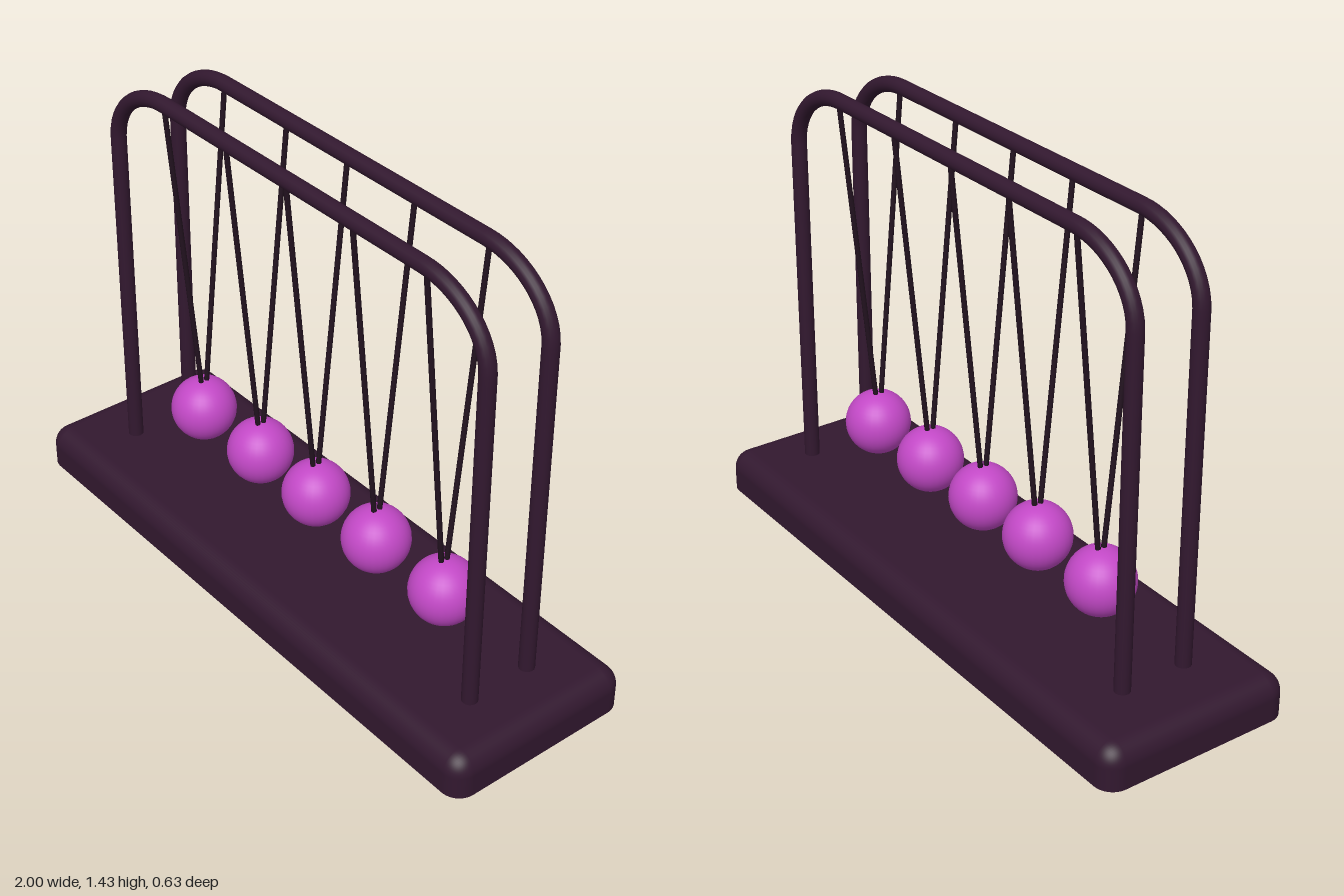
import * as THREE from 'three';
import { RoundedBoxGeometry } from 'three/addons/geometries/RoundedBoxGeometry.js';

const dark = new THREE.MeshStandardMaterial({ color: 0x32182f });
const stringMat = new THREE.MeshStandardMaterial({ color: 0x22121f });
const ballMat = new THREE.MeshStandardMaterial({ color: 0xc248c6 });

const CX = 0.014, CZ = 0.003;       // centre of the frame
const POST_X = 0.804, RAIL_Z = 0.107, RAIL_Y = 1.403, ROD_R = 0.024;
const BALL_Y = 0.315, BALL_R = 0.103;

function add(parent, name, geometry, material) {
  const mesh = new THREE.Mesh(geometry, material);
  mesh.name = name;
  parent.add(mesh);
  return mesh;
}

// Rounded slab whose lower half is flattened onto the ground
function baseGeometry() {
  const g = new RoundedBoxGeometry(2, 0.26, 0.63, 6, 0.06);
  const p = g.attributes.position, n = g.attributes.normal;
  for (let i = 0; i < p.count; i++) p.setY(i, Math.max(0, p.getY(i)));
  for (let i = 0; i < p.count; i += 3) {
    if (p.getY(i) + p.getY(i + 1) + p.getY(i + 2) < 1e-5) {
      for (let k = 0; k < 3; k++) n.setXYZ(i + k, 0, -1, 0);
    }
  }
  return g;
}

// Bent rod: two posts joined by a rail through soft corners
function frameGeometry() {
  const v = (x, y) => new THREE.Vector3(x, y, 0);
  const bendX = POST_X - 0.25, bendY = 1.2, k = 0.45;
  const corner = s => [
    v(s * POST_X, bendY), v(s * POST_X, bendY + (RAIL_Y - bendY) * (1 - k)),
    v(s * (bendX + 0.25 * (1 - k)), RAIL_Y), v(s * bendX, RAIL_Y)];
  const path = new THREE.CurvePath();
  path.add(new THREE.LineCurve3(v(-POST_X, 0.1), v(-POST_X, bendY)));
  path.add(new THREE.CubicBezierCurve3(...corner(-1)));
  path.add(new THREE.LineCurve3(v(-bendX, RAIL_Y), v(bendX, RAIL_Y)));
  path.add(new THREE.CubicBezierCurve3(...corner(1).reverse()));
  path.add(new THREE.LineCurve3(v(POST_X, bendY), v(POST_X, 0.1)));
  return new THREE.TubeGeometry(path, 160, ROD_R, 16, false);
}

// Thin cylinder between two points
function addString(parent, name, a, b) {
  const dir = b.clone().sub(a);
  const mesh = add(parent, name, new THREE.CylinderGeometry(0.008, 0.008, dir.length(), 10), stringMat);
  mesh.position.copy(a).add(b).multiplyScalar(0.5);
  mesh.quaternion.setFromUnitVectors(new THREE.Vector3(0, 1, 0), dir.normalize());
}

export function createModel() {
  const model = new THREE.Group();
  model.name = 'swingingBalls';
  add(model, 'base', baseGeometry(), dark);

  const frame = frameGeometry();
  for (const s of [1, -1]) {
    add(model, s > 0 ? 'frontFrame' : 'backFrame', frame, dark).position.set(CX, 0, CZ + s * RAIL_Z);
  }

  // Each ball hangs in a V from both rails
  const ball = new THREE.SphereGeometry(BALL_R, 32, 24);
  const ballX = [-0.55, -0.258, 0.013, 0.291, 0.585];
  const stringX = [-0.546, -0.255, 0.012, 0.291, 0.58];
  ballX.forEach((x, i) => {
    const pendulum = new THREE.Group();
    pendulum.name = 'pendulum' + (i + 1);
    add(pendulum, 'ball', ball, ballMat).position.set(x, BALL_Y, CZ + 0.003);
    for (const s of [1, -1]) {
      addString(pendulum, s > 0 ? 'frontString' : 'backString',
        new THREE.Vector3(stringX[i], BALL_Y + BALL_R - 0.015, CZ + 0.003 + s * 0.009),
        new THREE.Vector3(stringX[i], RAIL_Y, CZ + s * RAIL_Z));
    }
    model.add(pendulum);
  });
  return model;
}
